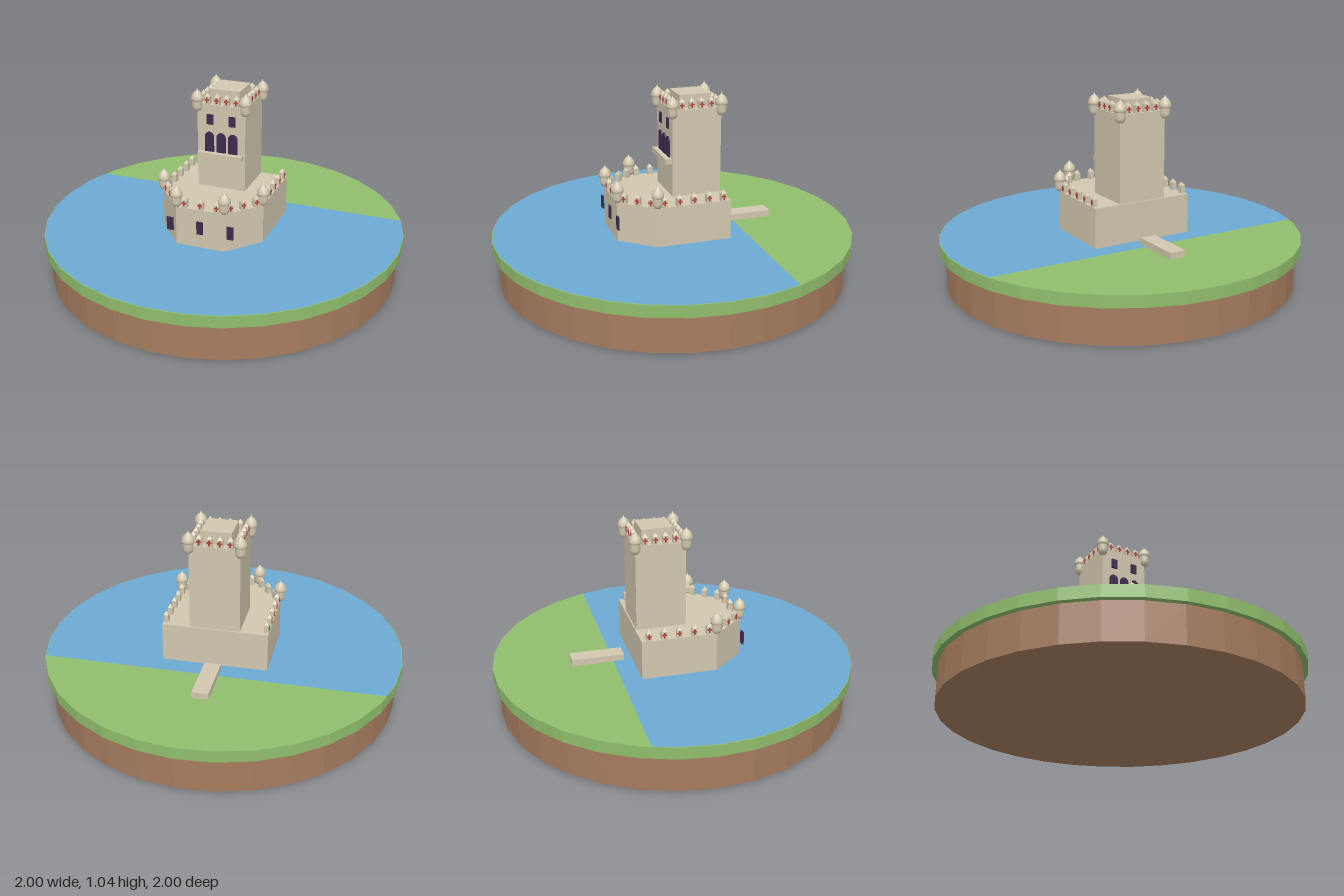
import * as THREE from 'three';

const mat = (name, color, flat = true) => {
  const m = new THREE.MeshStandardMaterial({ color, flatShading: flat });
  m.name = name;
  return m;
};

export function createModel() {
  const stone = mat('stone', 0xd2c8af);
  const smoothStone = mat('smoothStone', 0xd2c8af, false);
  const grass = mat('grass', 0x90be6d);
  const earth = mat('earth', 0xa67c5f);
  const water = mat('water', 0x6caad2);
  const dark = mat('windowDark', 0x3d2c4e);
  const red = mat('crossRed', 0xb8433a);

  const model = new THREE.Group();
  model.name = 'islandTower';
  const add = (parent, name, geo, material, x = 0, y = 0, z = 0) => {
    const m = new THREE.Mesh(geo, material);
    m.name = name;
    m.position.set(x, y, z);
    parent.add(m);
    return m;
  };
  const box = (w, h, d) => new THREE.BoxGeometry(w, h, d);

  // Round base with a wider grass rim
  const GROUND = 0.265;
  add(model, 'earthBase', new THREE.CylinderGeometry(0.97, 0.97, 0.2, 32), earth, 0, 0.1, 0);
  add(model, 'grassDisc', new THREE.CylinderGeometry(1, 1, 0.065, 32), grass, 0, 0.2325, 0);

  // Water covers the disc up to a straight shoreline
  const angles = [11.6];
  for (let k = 2; k <= 20; k++) angles.push(k * 11.25);
  angles.push(232.4);
  const shore = angles.map((deg) => {
    const a = THREE.MathUtils.degToRad(deg);
    return new THREE.Vector2(Math.cos(a) * 0.997, -Math.sin(a) * 0.997);
  });
  const waterGeo = new THREE.ShapeGeometry(new THREE.Shape(shore)).rotateX(-Math.PI / 2);
  add(model, 'water', waterGeo, water, 0, GROUND + 0.002, 0);

  // Everything built stands square to the shoreline
  const castle = new THREE.Group();
  castle.name = 'castle';
  castle.rotation.y = THREE.MathUtils.degToRad(-32);
  model.add(castle);

  // Six-sided bastion, corners as [x, z]
  const DECK = 0.485;
  const corners = [[0.29, -0.24], [0.29, 0.172], [0.137, 0.352], [-0.137, 0.352], [-0.29, 0.172], [-0.29, -0.24]];
  const plan = new THREE.Shape(corners.map(([x, z]) => new THREE.Vector2(x, -z)));
  const bastionGeo = new THREE.ExtrudeGeometry(plan, { depth: DECK - GROUND, bevelEnabled: false }).rotateX(-Math.PI / 2);
  add(castle, 'bastion', bastionGeo, stone, 0, GROUND, 0);

  // Keep with a raised roof block
  const TOP = 0.96, H = 0.137, TZ = -0.096;
  add(castle, 'keep', box(H * 2, TOP - DECK, H * 2), stone, 0, (TOP + DECK) / 2, TZ);
  add(castle, 'roofBlock', box(0.166, 0.07, 0.172), stone, 0, TOP + 0.035, -0.101);

  // Pointed merlon with a red cross on its outer side
  const capGeo = new THREE.CylinderGeometry(0, Math.SQRT1_2, 1, 4).rotateY(Math.PI / 4).scale(0.03, 0.021, 0.026);
  const merlon = (x, y, z, turn) => {
    const g = new THREE.Group();
    g.name = 'merlon';
    g.position.set(x, y, z);
    g.rotation.y = turn;
    add(g, 'merlonBlock', box(0.03, 0.042, 0.026), stone, 0, 0.021, 0);
    add(g, 'merlonCap', capGeo, stone, 0, 0.0525, 0);
    add(g, 'crossUpright', box(0.008, 0.03, 0.004), red, 0, 0.023, 0.014);
    add(g, 'crossArm', box(0.024, 0.008, 0.004), red, 0, 0.025, 0.014);
    castle.add(g);
  };
  // Merlons along a wall edge; outside is on the left of a->b seen from above
  const merlonRow = ([ax, az], [bx, bz], y, params) => {
    const len = Math.hypot(bx - ax, bz - az);
    const nx = (bz - az) / len, nz = -(bx - ax) / len;
    for (const t of params) {
      merlon(ax + (bx - ax) * t - nx * 0.015, y, az + (bz - az) * t - nz * 0.015, Math.atan2(nx, nz));
    }
  };
  const spread = (n) => Array.from({ length: n }, (_, i) => (i + 0.5) / n);
  [5, 3, 3, 3, 5].forEach((n, i) => merlonRow(corners[i], corners[i + 1], DECK, spread(n)));
  const keepCorners = [[H, TZ - H], [H, TZ + H], [-H, TZ + H], [-H, TZ - H]];
  keepCorners.forEach((c, i) => merlonRow(c, keepCorners[(i + 1) % 4], TOP, [0.2, 0.4, 0.6, 0.8]));

  // Domed corner turrets
  const bodyGeo = new THREE.LatheGeometry(
    [[0, 0], [0.017, 0.003], [0.025, 0.015], [0.028, 0.028], [0.028, 0.065]].map((p) => new THREE.Vector2(...p)), 12);
  const domeGeo = new THREE.LatheGeometry(
    [[0.026, 0.057], [0.034, 0.061], [0.034, 0.073], [0.029, 0.091], [0.017, 0.106], [0.006, 0.114], [0, 0.127]]
      .map((p) => new THREE.Vector2(...p)), 12);
  const turret = ([x, z], y) => {
    add(castle, 'turretBody', bodyGeo, smoothStone, x, y, z);
    add(castle, 'turretDome', domeGeo, smoothStone, x, y, z);
  };
  corners.slice(1, 5).forEach((c) => turret([c[0] * 0.985, c[1] * 0.985], DECK));
  keepCorners.forEach((c) => turret(c, 0.918));

  // Keep front: balcony, three arches, two upper windows
  const FRONT = TZ + H;
  add(castle, 'balcony', box(0.25, 0.027, 0.036), stone, 0, 0.68, FRONT + 0.016);
  const arch = new THREE.Shape();
  arch.moveTo(-0.026, 0);
  arch.lineTo(0.026, 0);
  arch.lineTo(0.026, 0.088);
  arch.absarc(0, 0.088, 0.026, 0, Math.PI, false);
  const archGeo = new THREE.ExtrudeGeometry(arch, { depth: 0.009, bevelEnabled: false, curveSegments: 6 });
  for (const x of [-0.067, 0, 0.067]) add(castle, 'archWindow', archGeo, dark, x, 0.692, FRONT - 0.002);
  for (const x of [-0.063, 0.063]) add(castle, 'upperWindow', box(0.036, 0.056, 0.009), dark, x, 0.878, FRONT + 0.003);

  // Bastion gun ports, the outer two reaching past the corners
  for (const x of [-0.17, 0, 0.17]) add(castle, 'gunPort', box(0.036, 0.072, 0.0095), dark, x, 0.383, 0.356);

  // Footbridge to the shore
  add(castle, 'footbridge', box(0.09, 0.036, 0.29), stone, 0, GROUND + 0.018, -0.431);

  return model;
}
